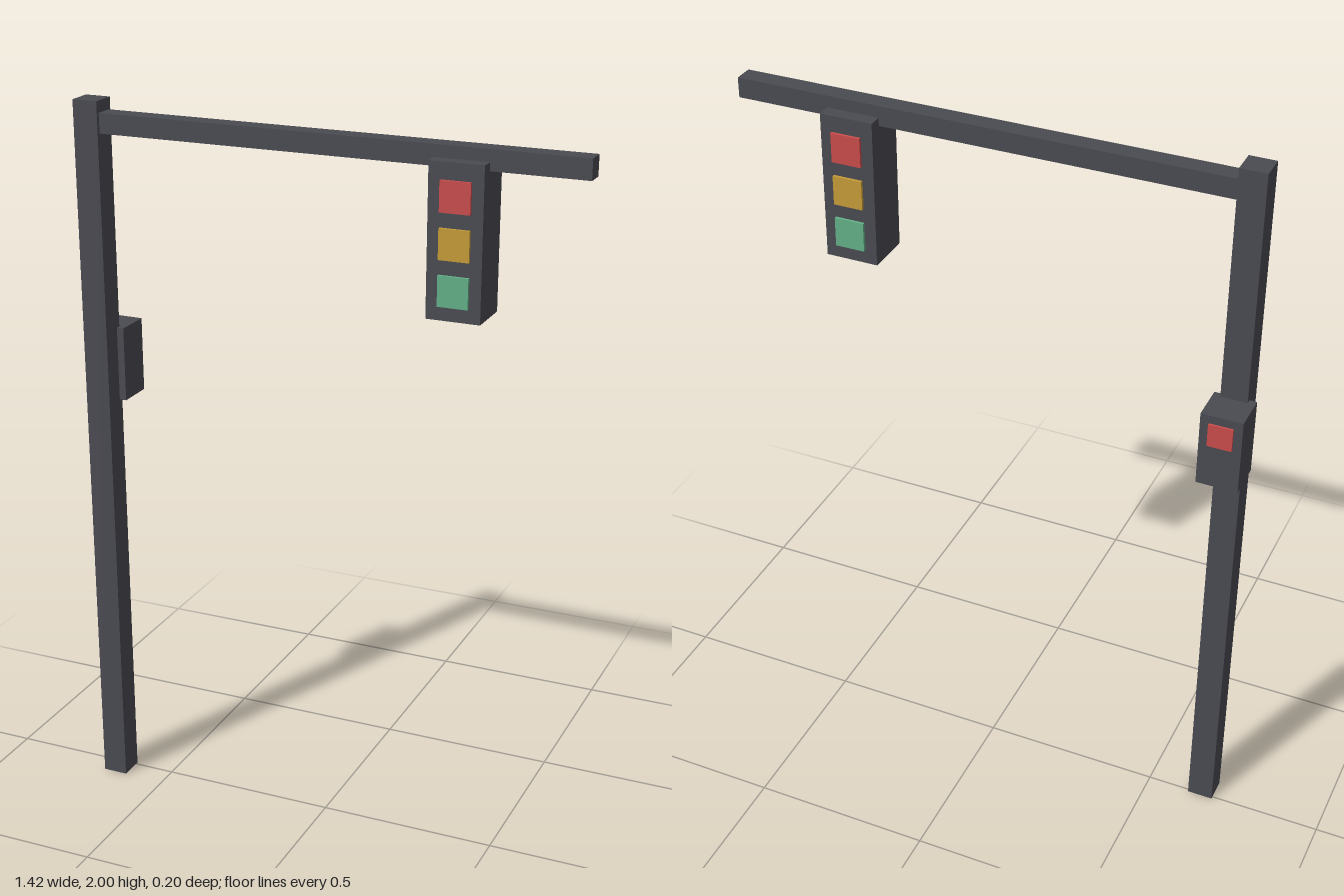
import * as THREE from 'three';

const flat = (name, color) => {
  const m = new THREE.MeshStandardMaterial({ color });
  m.name = name;
  return m;
};

export function createModel() {
  const metal = flat('darkMetal', 0x4a4a52);
  const red = flat('red', 0xc94c4c);
  const yellow = flat('yellow', 0xc59b38);
  const green = flat('green', 0x63b088);

  const model = new THREE.Group();
  model.name = 'trafficLight';

  // Box given by its extents on each axis
  const box = (name, material, [x0, x1], [y0, y1], [z0, z1]) => {
    const mesh = new THREE.Mesh(new THREE.BoxGeometry(x1 - x0, y1 - y0, z1 - z0), material);
    mesh.position.set((x0 + x1) / 2, (y0 + y1) / 2, (z0 + z1) / 2);
    mesh.name = name;
    model.add(mesh);
  };

  // Post and overhead arm
  box('pole', metal, [-0.691, -0.62], [0, 2], [-0.008, 0.063]);
  box('arm', metal, [-0.62, 0.709], [1.914, 1.968], [0, 0.053]);

  // Hanging signal with lamps on front and back
  box('signalHousing', metal, [0.311, 0.455], [1.537, 1.936], [-0.038, 0.091]);
  [['red', red], ['yellow', yellow], ['green', green]].forEach(([name, material], i) => {
    const top = 1.892 - i * 0.119;
    box(name + 'LampFront', material, [0.343, 0.424], [top - 0.08, top], [0.091, 0.099]);
    box(name + 'LampBack', material, [0.343, 0.424], [top - 0.08, top], [-0.046, -0.038]);
  });

  // Crossing control box with its button on the back
  box('controlBox', metal, [-0.711, -0.6], [1.163, 1.371], [-0.098, 0.006]);
  box('callButton', red, [-0.688, -0.623], [1.284, 1.348], [-0.104, -0.098]);

  return model;
}
